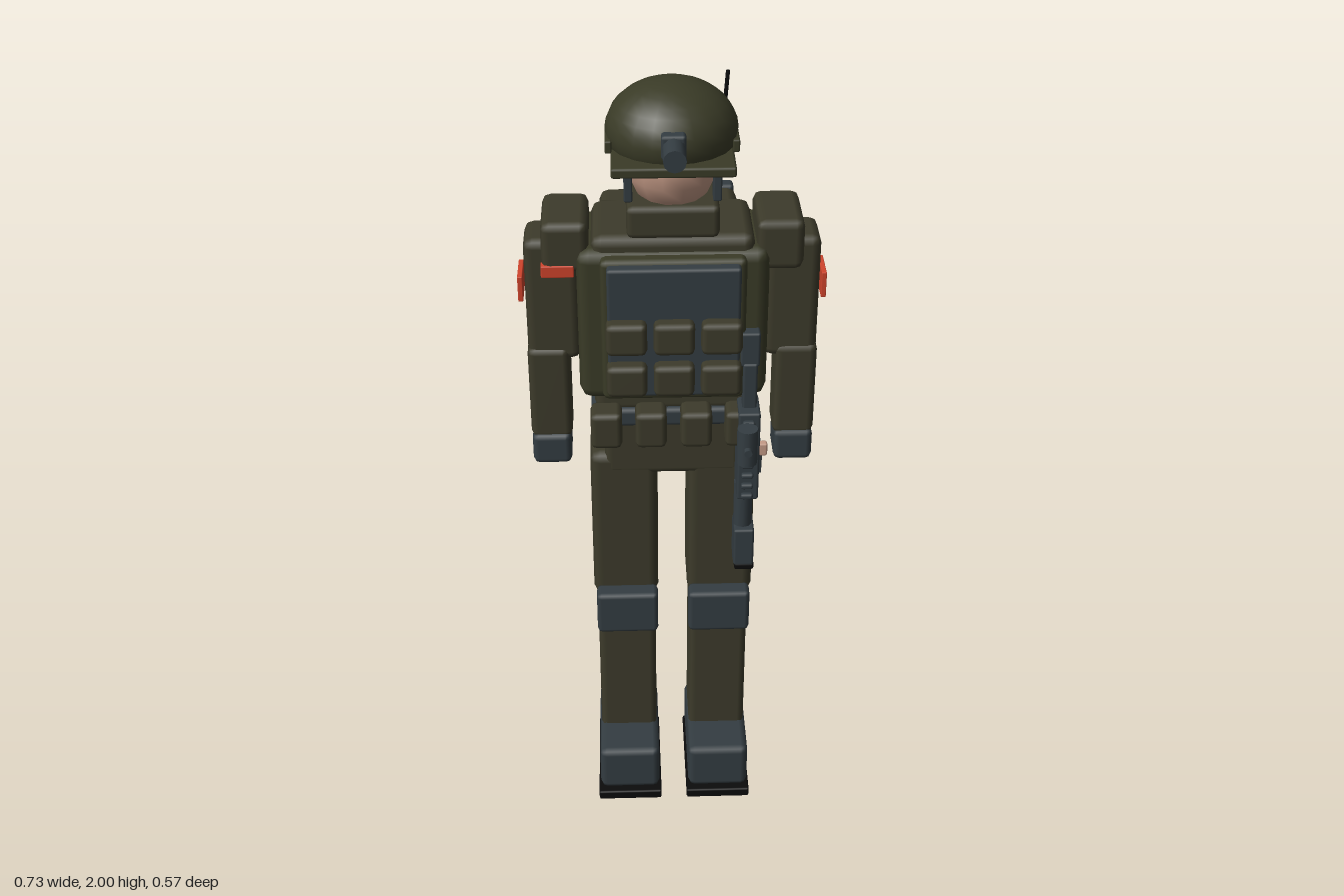
import * as THREE from 'three';
import { RoundedBoxGeometry } from 'three/addons/geometries/RoundedBoxGeometry.js';

const mat = (name, color) => {
  const m = new THREE.MeshStandardMaterial({ color });
  m.name = name;
  return m;
};

export function createModel() {
  const model = new THREE.Group();
  model.name = 'soldier';
  const olive = mat('olive', 0x3a3b27);
  const cloth = mat('cloth olive', 0x3d3b2b);
  const slate = mat('slate', 0x343d42);
  const black = mat('black', 0x0b0b0b);
  const skin = mat('skin', 0xc49a86);
  const red = mat('signal red', 0xd0442c);

  const add = (name, geometry, material, parent = model) => {
    const mesh = new THREE.Mesh(geometry, material);
    mesh.name = name;
    parent.add(mesh);
    return mesh;
  };
  // bevelled box given by its limits on each axis
  const box = (name, material, [x0, x1], [y0, y1], [z0, z1], bevel = 0.015, parent = model) => {
    const s = [x1 - x0, y1 - y0, z1 - z0];
    const r = Math.min(bevel, Math.min(...s) * 0.4);
    const mesh = add(name, new RoundedBoxGeometry(...s, 1, r), material, parent);
    mesh.position.set((x0 + x1) / 2, (y0 + y1) / 2, (z0 + z1) / 2);
    return mesh;
  };
  // the same box on both sides of the body
  const pair = (name, material, [x0, x1], y, z, bevel) => {
    box('left ' + name, material, [x0, x1], y, z, bevel);
    box('right ' + name, material, [-x1, -x0], y, z, bevel);
  };
  // rod between two points
  const rod = (name, material, a, b, r, sides = 12, parent = model) => {
    const p = new THREE.Vector3(...a), q = new THREE.Vector3(...b), d = q.clone().sub(p);
    const mesh = add(name, new THREE.CylinderGeometry(r, r, d.length(), sides), material, parent);
    mesh.position.copy(p).add(q).multiplyScalar(0.5);
    mesh.quaternion.setFromUnitVectors(new THREE.Vector3(0, 1, 0), d.normalize());
    return mesh;
  };

  // legs and boots
  pair('sole', black, [0.035, 0.208], [0, 0.028], [-0.075, 0.232], 0.005);
  pair('boot', slate, [0.04, 0.203], [0.025, 0.163], [-0.078, 0.215], 0.018);
  pair('shin', cloth, [0.045, 0.198], [0.1, 0.58], [-0.065, 0.1], 0.018);
  pair('thigh', cloth, [0.038, 0.207], [0.62, 1.07], [-0.078, 0.108], 0.025);
  pair('knee pad', slate, [0.04, 0.2], [0.535, 0.66], [0.1, 0.155], 0.012);

  // hips and belt
  box('pelvis', cloth, [-0.17, 0.17], [1.01, 1.24], [-0.095, 0.11], 0.02);
  box('belt', slate, [-0.2, 0.2], [1.165, 1.215], [-0.105, 0.13], 0.012);
  for (const x of [-0.163, -0.055, 0.055, 0.163])
    box('belt pouch', cloth, [x - 0.038, x + 0.038], [1.135, 1.232], [0.11, 0.185], 0.014);

  // torso and vest
  box('torso', cloth, [-0.19, 0.19], [1.2, 1.67], [-0.11, 0.12], 0.025);
  box('vest', olive, [-0.225, 0.225], [1.245, 1.64], [-0.12, 0.135], 0.03);
  box('front plate', olive, [-0.17, 0.17], [1.26, 1.63], [0.1, 0.16], 0.015);
  box('chest panel', slate, [-0.155, 0.155], [1.285, 1.62], [0.15, 0.185], 0.008);
  for (const x of [-0.111, 0, 0.111])
    for (const y of [1.342, 1.453])
      box('chest pouch', cloth, [x - 0.048, x + 0.048], [y - 0.041, y + 0.041], [0.165, 0.22], 0.014);

  // arms
  pair('shoulder pad', cloth, [0.195, 0.305], [1.575, 1.7], [-0.083, 0.11], 0.02);
  pair('upper arm', cloth, [0.22, 0.348], [1.33, 1.648], [-0.048, 0.085], 0.022);
  pair('forearm', cloth, [0.248, 0.35], [1.11, 1.365], [-0.012, 0.092], 0.018);
  pair('glove', slate, [0.252, 0.348], [1.04, 1.125], [-0.008, 0.1], 0.015);
  pair('arm patch', red, [0.354, 0.366], [1.48, 1.545], [-0.033, 0.062], 0.002);
  box('shoulder marker', red, [-0.307, -0.23], [1.567, 1.597], [-0.086, 0.113], 0.003);

  // backpack, radio and antenna
  box('backpack', cloth, [-0.172, 0.168], [1.245, 1.635], [-0.253, -0.1], 0.025);
  box('radio', slate, [0.087, 0.163], [1.5, 1.635], [-0.287, -0.243], 0.01);
  rod('antenna', black, [0.122, 1.62, -0.263], [0.145, 1.92, -0.277], 0.005, 8);

  // neck and head
  box('collar', cloth, [-0.107, 0.107], [1.665, 1.745], [-0.085, 0.122], 0.015);
  rod('neck', skin, [0, 1.66, 0.01], [0, 1.78, 0.01], 0.07, 16);
  const head = add('head', new THREE.SphereGeometry(1, 14, 10), skin);
  head.scale.set(0.11, 0.13, 0.128);
  head.position.set(0, 1.83, 0.012);
  pair('chin strap', slate, [0.092, 0.112], [1.745, 1.84], [0.055, 0.092], 0.004);
  pair('strap end', slate, [0.078, 0.112], [1.755, 1.83], [-0.095, -0.055], 0.006);
  box('nape band', slate, [-0.1, 0.1], [1.76, 1.82], [-0.108, -0.07], 0.008);

  // helmet
  const helmet = new THREE.Group();
  helmet.name = 'helmet';
  model.add(helmet);
  const shell = add('helmet shell',
    new THREE.SphereGeometry(1, 20, 12, 0, Math.PI * 2, 0, Math.PI * 0.74), olive, helmet);
  shell.scale.set(0.153, 0.114, 0.151);
  shell.position.set(0, 1.886, -0.007);
  const under = add('helmet underside', new THREE.CircleGeometry(0.105, 20), olive, helmet);
  under.rotation.x = Math.PI / 2;
  under.position.set(0, 1.808, -0.007);
  box('brim', olive, [-0.14, 0.14], [1.832, 1.856], [0.03, 0.16], 0.006, helmet);
  for (const s of [-1, 1])
    box('side rail', olive, [s * 0.145 - 0.008, s * 0.145 + 0.008], [1.85, 1.88], [-0.05, 0.06], 0.004, helmet);
  box('scope mount', slate, [-0.028, 0.028], [1.872, 1.93], [0.12, 0.158], 0.008, helmet);
  rod('night scope', slate, [0, 1.9, 0.14], [0, 1.9, 0.226], 0.026, 12, helmet);

  // slung rifle, muzzle down
  const rifle = new THREE.Group();
  rifle.name = 'rifle';
  model.add(rifle);
  const part = (name, x, y, z, m = slate) => box(name, m, x, y, z, 0.006, rifle);
  part('receiver', [0.155, 0.208], [0.99, 1.24], [0.1, 0.2]);
  part('stock tube', [0.165, 0.2], [1.22, 1.36], [0.125, 0.17]);
  part('stock butt', [0.158, 0.205], [1.35, 1.44], [0.125, 0.165]);
  rod('barrel', slate, [0.175, 0.77, 0.145], [0.175, 1.01, 0.145], 0.024, 10, rifle);
  part('muzzle housing', [0.152, 0.203], [0.775, 0.885], [0.105, 0.185]);
  part('muzzle cap', [0.155, 0.205], [0.755, 0.775], [0.108, 0.178], black);
  for (let i = 0; i < 8; i++)
    part('rail tooth', [0.164, 0.194], [1.0 + i * 0.03, 1.015 + i * 0.03], [0.198, 0.215]);
  part('optic mount', [0.16, 0.19], [1.155, 1.205], [0.2, 0.235]);
  rod('optic', slate, [0.173, 1.135, 0.247], [0.173, 1.23, 0.247], 0.025, 12, rifle);
  rod('optic turret', slate, [0.173, 1.182, 0.26], [0.173, 1.182, 0.285], 0.01, 8, rifle);
  for (const [x, z] of [[0.2, 0.125], [0.222, 0.138]])
    box('finger', skin, [x - 0.012, x + 0.01], [1.085, 1.12], [z - 0.01, z + 0.01], 0.005, rifle);

  // magazine and grip silhouette, drawn as (z, y)
  const outline = new THREE.Shape([
    [0.11, 1.07], [-0.02, 1.075], [-0.115, 1.09], [-0.112, 1.018], [-0.02, 1.02], [-0.025, 0.97], [0.095, 1.0],
  ].map(([z, y]) => new THREE.Vector2(-z, y)));
  const magazine = add('magazine',
    new THREE.ExtrudeGeometry(outline, { depth: 0.05, bevelEnabled: false }), slate, rifle);
  magazine.rotation.y = Math.PI / 2;
  magazine.position.x = 0.173;

  return model;
}
